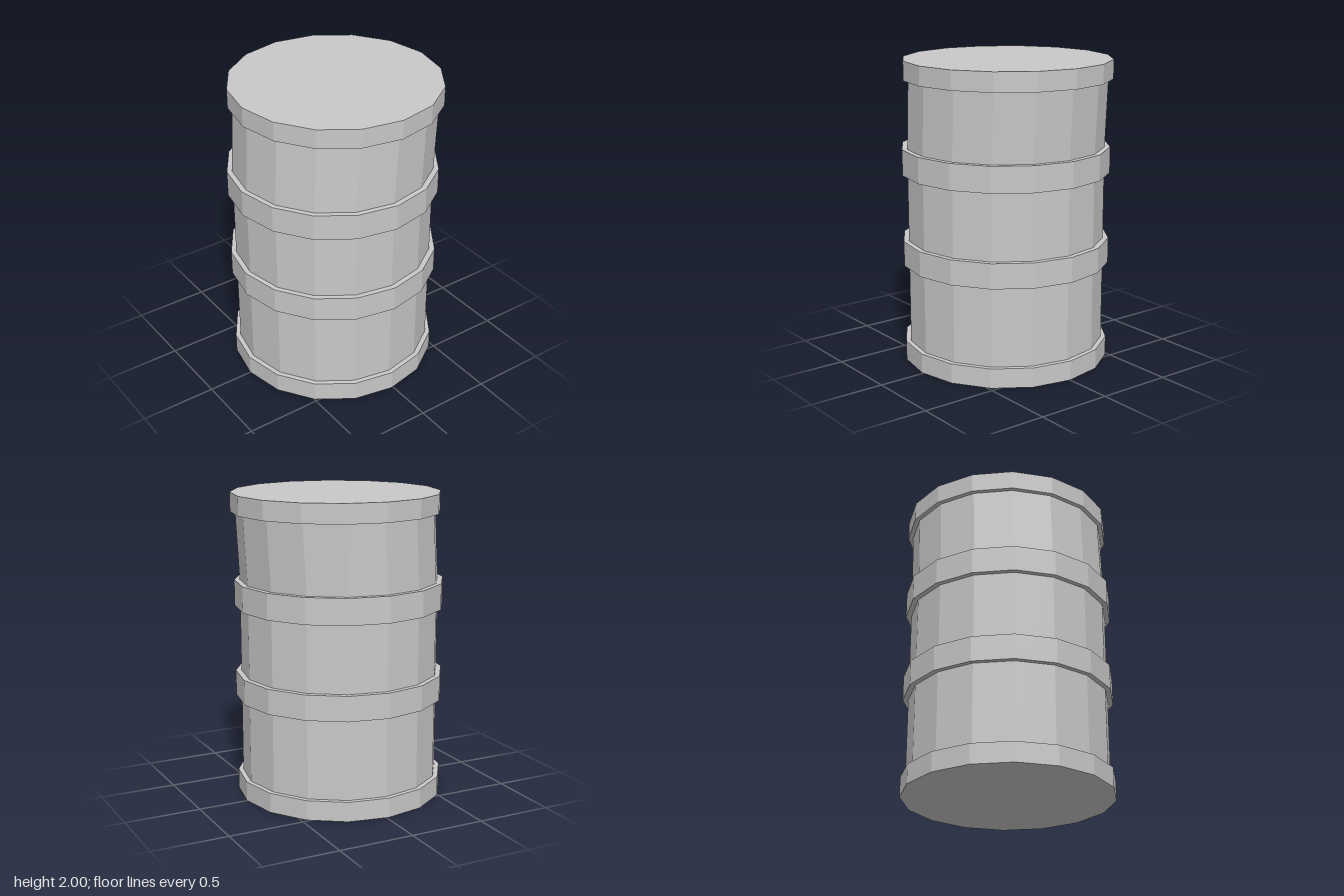
import * as THREE from 'three';

const SIDES = 16;

export function createModel() {
  const group = new THREE.Group();
  group.name = 'barrel';
  const grey = new THREE.MeshStandardMaterial({ color: 0xc8c8c8 });
  grey.name = 'grey metal';

  // Flat-faced drum section; its upper end may be offset along z
  function drum(name, radius, y0, y1, z0, z1 = z0, open = false) {
    const h = y1 - y0;
    const indexed = new THREE.CylinderGeometry(radius, radius, h, SIDES, 1, open);
    const p = indexed.attributes.position;
    for (let i = 0; i < p.count; i++) {
      const t = p.getY(i) / h + 0.5;
      p.setY(i, y0 + t * h);
      p.setZ(i, p.getZ(i) + z0 + t * (z1 - z0));
    }
    const geometry = indexed.toNonIndexed();
    geometry.computeVertexNormals();
    const mesh = new THREE.Mesh(geometry, grey);
    mesh.name = name;
    group.add(mesh);
  }

  // Straight lower wall and leaning upper wall
  drum('lowerWall', 0.65, 0.06, 1.42, 0.013, 0.013, true);
  drum('upperWall', 0.65, 1.42, 1.92, 0.013, -0.014, true);

  // Rims with closed ends, and two hoops
  drum('bottomRim', 0.682, 0, 0.13, 0.013);
  drum('lowerHoop', 0.685, 0.655, 0.82, 0.011);
  drum('upperHoop', 0.685, 1.26, 1.43, 0.011);
  drum('topRim', 0.681, 1.875, 2, -0.013);

  return group;
}
